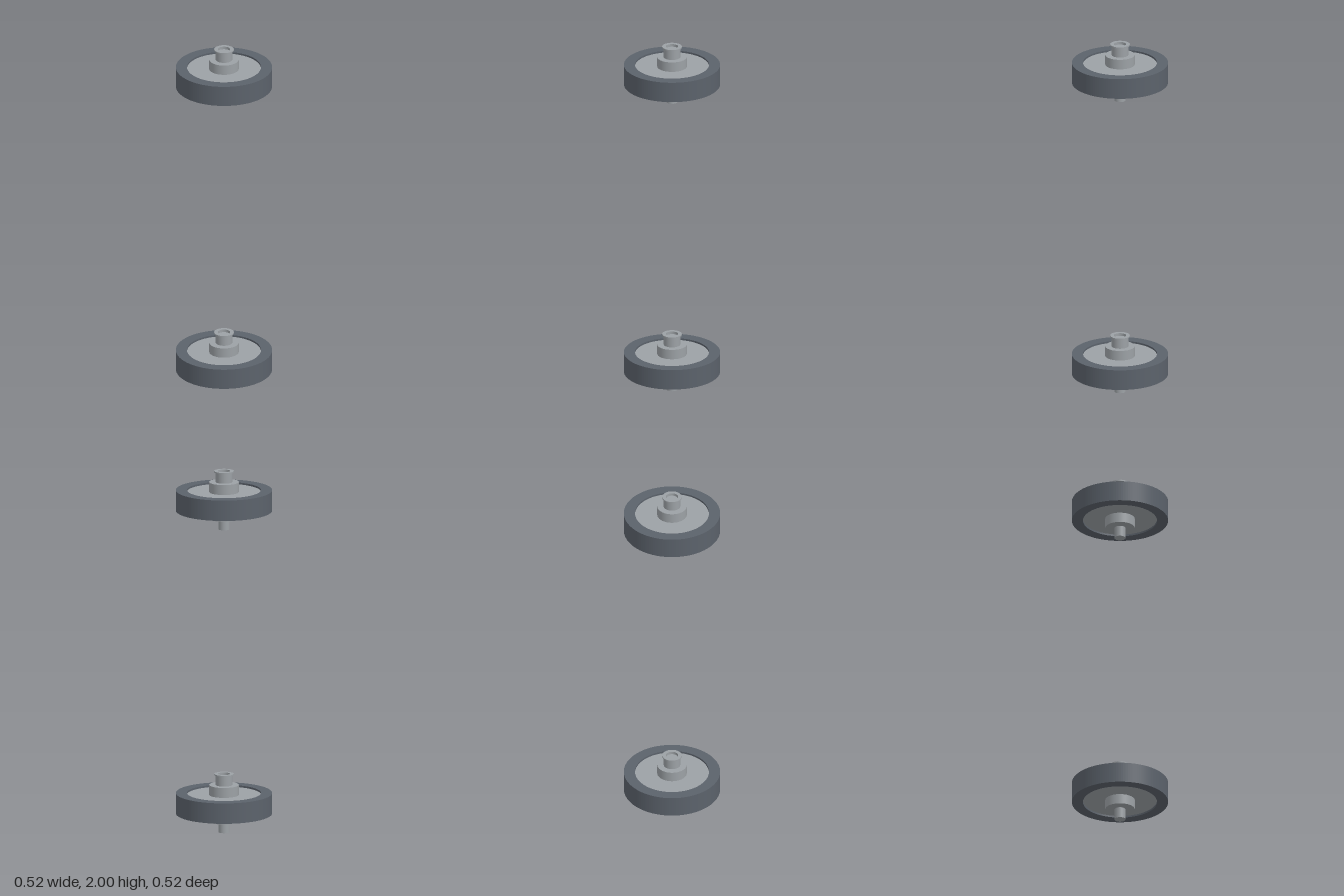
import * as THREE from 'three';

const SEG = 64;
const SPACING = 1.677;

const metal = new THREE.MeshStandardMaterial({ color: 0x9ca1a5 });
metal.name = 'brushed metal';
const rubber = new THREE.MeshStandardMaterial({ color: 0x5b626b });
rubber.name = 'dark rubber';

// Solid disc between two heights
function disc(name, radius, y0, y1, material) {
  const mesh = new THREE.Mesh(new THREE.CylinderGeometry(radius, radius, y1 - y0, SEG), material);
  mesh.position.y = (y0 + y1) / 2;
  mesh.name = name;
  return mesh;
}

// Flat-sided ring between two heights
function ring(name, outer, inner, y0, y1, material) {
  const shape = new THREE.Shape().absarc(0, 0, outer, 0, Math.PI * 2, false);
  shape.holes.push(new THREE.Path().absarc(0, 0, inner, 0, Math.PI * 2, true));
  const geometry = new THREE.ExtrudeGeometry(shape, {
    depth: y1 - y0, bevelEnabled: false, curveSegments: SEG,
  });
  geometry.rotateX(-Math.PI / 2);
  const mesh = new THREE.Mesh(geometry, material);
  mesh.position.y = y0;
  mesh.name = name;
  return mesh;
}

function createWheel(name) {
  const wheel = new THREE.Group();
  wheel.name = name;
  wheel.add(
    ring('tyre', 0.26, 0.2, 0.104, 0.217, rubber),
    disc('web', 0.201, 0.114, 0.207, metal),
    disc('hub', 0.08, 0.059, 0.262, metal),
    disc('lowerAxle', 0.03, 0, 0.06, metal),
    // Upper collar with a shallow bore, closed by a thin lip
    disc('collarCore', 0.034, 0.26, 0.308, metal),
    ring('collar', 0.045, 0.033, 0.26, 0.316, metal),
    ring('collarLip', 0.053, 0.033, 0.316, 0.323, metal),
  );
  return wheel;
}

export function createModel() {
  const model = new THREE.Group();
  model.name = 'wheelPair';
  ['lowerWheel', 'upperWheel'].forEach((name, i) => {
    const wheel = createWheel(name);
    wheel.position.y = i * SPACING;
    model.add(wheel);
  });
  return model;
}
